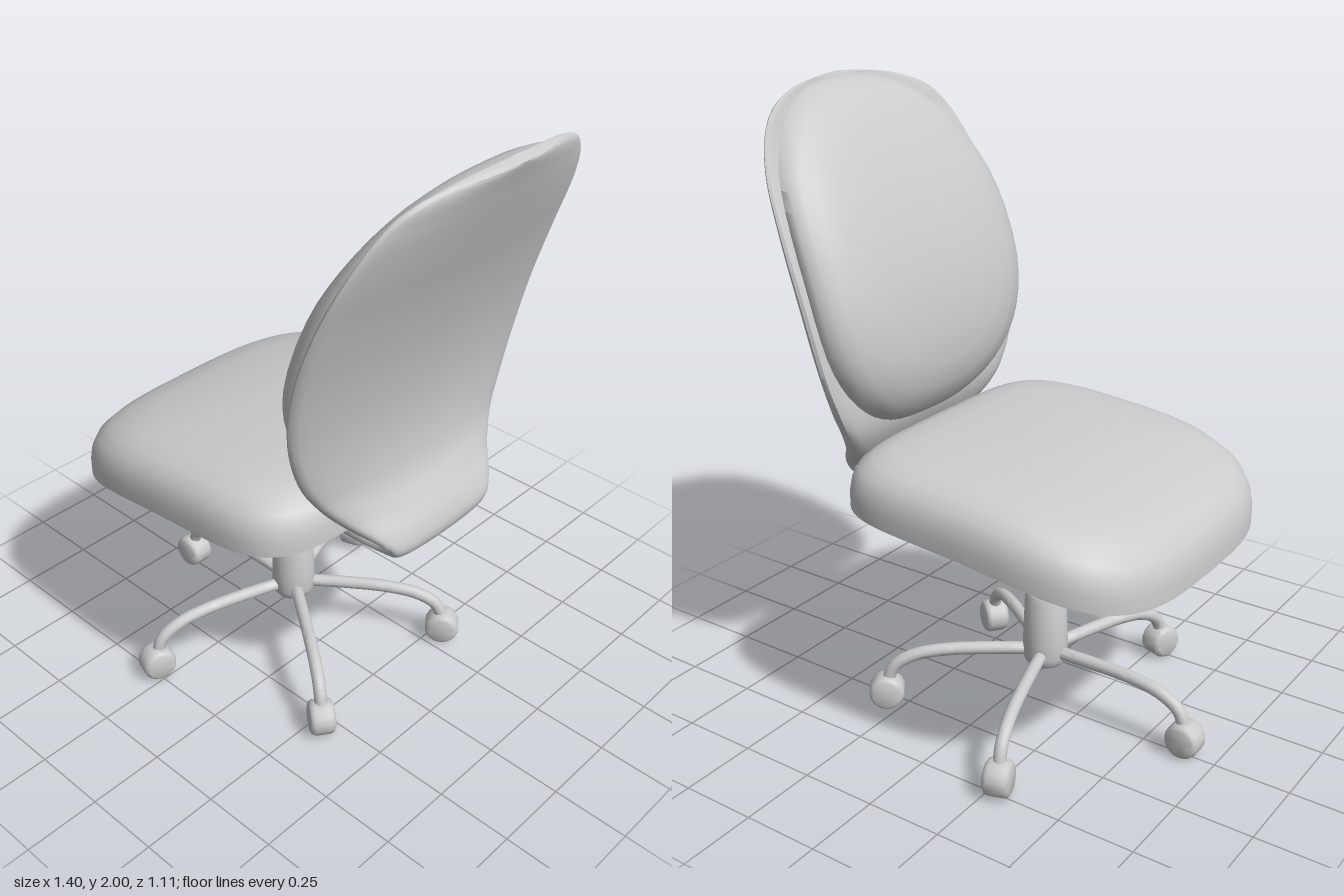
import * as THREE from 'three';
import { toCreasedNormals } from 'three/addons/utils/BufferGeometryUtils.js';

const grey = new THREE.MeshStandardMaterial({ color: 0xcccccc, side: THREE.DoubleSide });
const AXIS_X = -0.125; // centre of the column

const spow = (v, p) => Math.sign(v) * Math.abs(v) ** p;
const { lerp, smoothstep } = THREE.MathUtils;

function part(name, geometry, crease = 0.8) {
  const mesh = new THREE.Mesh(toCreasedNormals(geometry, crease), grey);
  mesh.name = name;
  return mesh;
}

// Skin a list of closed rings (equal point counts); faces are turned outward
function loft(rings) {
  const n = rings[0].length;
  const pts = rings.flat();
  const index = [];
  for (let i = 0; i < rings.length - 1; i++) {
    for (let j = 0; j < n; j++) {
      const a = i * n + j, b = i * n + (j + 1) % n;
      for (const t of [[a, b, b + n], [a, b + n, a + n]]) {
        const [p, q, r] = t.map((k) => pts[k]);
        const area = q.clone().sub(p).cross(r.clone().sub(p)).length();
        if (area > 1e-9) index.push(...t);
      }
    }
  }
  let volume = 0;
  for (let i = 0; i < index.length; i += 3) {
    const [p, q, r] = [0, 1, 2].map((k) => pts[index[i + k]]);
    volume += p.dot(q.clone().cross(r));
  }
  if (volume < 0) index.reverse();
  const g = new THREE.BufferGeometry().setFromPoints(pts);
  g.setIndex(index);
  g.computeVertexNormals();
  return g;
}

// Ring of n points made by a function of the angle
const ring = (n, f) => Array.from({ length: n }, (_, i) => f((i / n) * Math.PI * 2));

// Height or depth along a few points, smoothly interpolated
function along(points) {
  return (v) => {
    let i = 0;
    while (i < points.length - 2 && v > points[i + 1][0]) i++;
    const slope = (k) => {
      const a = points[Math.max(k - 1, 0)], b = points[Math.min(k + 1, points.length - 1)];
      return (b[1] - a[1]) / (b[0] - a[0]);
    };
    const [x0, y0] = points[i], [x1, y1] = points[i + 1], h = x1 - x0;
    const t = THREE.MathUtils.clamp((v - x0) / h, 0, 1), u = 1 - t;
    return y0 * (1 + 2 * t) * u * u + h * slope(i) * t * u * u + y1 * t * t * (3 - 2 * t) - h * slope(i + 1) * t * t * u;
  };
}

// Underside of the seat, which the bracket follows too
const under = along([[-0.7, 0.65], [-0.55, 0.693], [-0.35, 0.738], [-0.1, 0.768], [0.34, 0.793]]);

// Seat: rounded plan, constant thickness over a curved underside
function seat() {
  const profile = [[0, 0], [0.35, 0], [0.7, 0], [0.98, 0], [1, 0.03], [1, 0.28], [0.988, 0.5], [0.955, 0.7],
    [0.89, 0.85], [0.8, 0.94], [0.65, 0.985], [0.45, 1], [0.2, 1.01], [0, 1.01]];
  return part('seat', loft(profile.map(([s, t]) => ring(64, (a) => {
    const c = Math.cos(a), n = c < 0 ? 3.4 : 4.8;
    const x = -0.18 + 0.52 * s * spow(c, 2 / n);
    return new THREE.Vector3(x, under(x) + 0.187 * t, 0.547 * s * spow(Math.sin(a), 2 / n));
  }))), 0.9);
}

// Back shell: one L-shaped sweep, each row is x, y and half width
function backShell() {
  const path = new THREE.CatmullRomCurve3([
    [-0.1, 0.755, 0.17], [0.15, 0.758, 0.2], [0.35, 0.758, 0.21], [0.44, 0.757, 0.2], [0.487, 0.778, 0.215],
    [0.482, 0.825, 0.255], [0.45, 0.89, 0.32], [0.418, 0.96, 0.38], [0.402, 1.05, 0.437], [0.405, 1.2, 0.49],
    [0.443, 1.4, 0.515], [0.512, 1.6, 0.51], [0.582, 1.76, 0.48], [0.63, 1.87, 0.425], [0.655, 1.93, 0.36],
    [0.675, 1.975, 0.23], [0.681, 1.99, 0.12], [0.683, 1.995, 0.04],
  ].map((p) => new THREE.Vector3(...p)), false, 'centripetal');
  const steps = 80, rings = [];
  for (let i = 0; i <= steps; i++) {
    const p = path.getPoint(i / steps), d = path.getTangent(i / steps);
    const l = Math.hypot(d.x, d.y), nx = d.y / l, ny = -d.x / l;
    const curl = 0.055 * smoothstep(p.y, 0.77, 0.9) * Math.min(1, p.z / 0.4);
    const half = lerp(0.036, 0.016, smoothstep(p.y, 1.3, 2)) - 0.016 * smoothstep(-p.x, -0.35, 0);
    // the waist is thickened on its inner side
    const inner = half + 0.03 * smoothstep(p.y, 0.79, 0.9) * (1 - smoothstep(p.y, 0.95, 1.2));
    rings.push(ring(40, (a) => {
      const s = Math.sin(a), c = spow(Math.cos(a), 0.85);
      const off = (s > 0 ? half : inner) * spow(s, 0.6);
      // the rims curl forward around the cushion
      return new THREE.Vector3(p.x + nx * off - curl * c * c, p.y + ny * off, p.z * c);
    }));
  }
  const cap = (r) => {
    const c = r.reduce((s, p) => s.add(p), new THREE.Vector3()).divideScalar(r.length);
    return r.map(() => c.clone());
  };
  return part('backShell', loft([cap(rings[0]), ...rings, cap(rings[steps])]));
}

// Back cushion: egg-shaped pad bulging forward from the shell
function backCushion() {
  const rear = along([[0.93, 0.4], [1.05, 0.385], [1.2, 0.39], [1.4, 0.428], [1.6, 0.497], [1.8, 0.588], [2, 0.675]]);
  const profile = [[0, -0.1], [0.5, -0.1], [0.96, -0.05], [1, 0.1], [0.99, 0.3], [0.95, 0.52], [0.88, 0.7],
    [0.76, 0.85], [0.6, 0.94], [0.4, 0.985], [0.2, 1], [0, 1]];
  return part('backCushion', loft(profile.map(([s, t]) => ring(56, (a) => {
    const up = Math.sin(a), n = up > 0 ? 2.5 : 2.3;
    const y = 1.44 + s * (up > 0 ? 0.545 : 0.505) * spow(up, 2 / n);
    const z = 0.492 * s * spow(Math.cos(a), 2 / n);
    return new THREE.Vector3(rear(y) - 0.157 * t - 0.045 * (z / 0.5) ** 2 * (1 - 0.3 * t), y, z);
  }))), 1);
}

// Bracket: flares from the round column to an elongated plate against the seat
function bracket() {
  const profile = [[0, 0.56], [0, 0.585], [0.04, 0.6], [0.15, 0.615], [0.35, 0.636], [0.6, 0.663],
    [0.85, 0.688], [0.96, 0.703], [1, 0.718]];
  const outline = (t, height) => ring(48, (a) => {
    const c = Math.cos(a), s = Math.sin(a), p = lerp(1, 0.8, t);
    const x = AXIS_X + spow(c, p) * lerp(0.042, c < 0 ? 0.335 : 0.5, t);
    return new THREE.Vector3(x, height(x, spow(c, p)), spow(s, p) * lerp(0.042, 0.225, t));
  });
  const rings = profile.map(([t, y]) => outline(t, (x, c) => y + t * 0.022 * c));
  rings.push(outline(1, (x) => under(x) - 0.004), outline(0.97, (x) => under(x) + 0.003), outline(0, under));
  return part('bracket', loft(rings));
}

function lathe(points, sides) {
  return new THREE.LatheGeometry(points.map((p) => new THREE.Vector2(...p)), sides);
}

// Star base: five curved legs with a roller each
function base() {
  const group = new THREE.Group();
  group.name = 'base';
  group.position.x = AXIS_X;
  const curve = new THREE.CatmullRomCurve3([[0.03, 0.21], [0.18, 0.213], [0.33, 0.209], [0.43, 0.19],
    [0.495, 0.15], [0.52, 0.08]].map(([x, y]) => new THREE.Vector3(x, y, 0)));
  const leg = part('leg', new THREE.TubeGeometry(curve, 24, 0.021, 12));
  const roller = part('caster', lathe([[0, -0.041], [0.044, -0.041], [0.053, -0.036], [0.058, -0.025],
    [0.058, 0.025], [0.053, 0.036], [0.044, 0.041], [0, 0.041]], 14));
  roller.rotation.x = Math.PI / 2;
  roller.position.set(0.52, 0.061, 0);
  for (let i = 0; i < 5; i++) {
    const arm = new THREE.Group();
    arm.name = 'legWithCaster';
    arm.rotation.y = Math.PI + (i * Math.PI * 2) / 5;
    arm.add(leg.clone(), roller.clone());
    group.add(arm);
  }
  return group;
}

export function createModel() {
  const model = new THREE.Group();
  model.name = 'officeChair';
  const column = part('column', lathe([[0, 0.163], [0.05, 0.163], [0.06, 0.168], [0.068, 0.18], [0.073, 0.2],
    [0.073, 0.25], [0.067, 0.405], [0.061, 0.42], [0.047, 0.424], [0.041, 0.56], [0.042, 0.59]], 32), 0.7);
  column.position.x = AXIS_X;
  model.add(base(), column, bracket(), seat(), backShell(), backCushion());
  return model;
}
